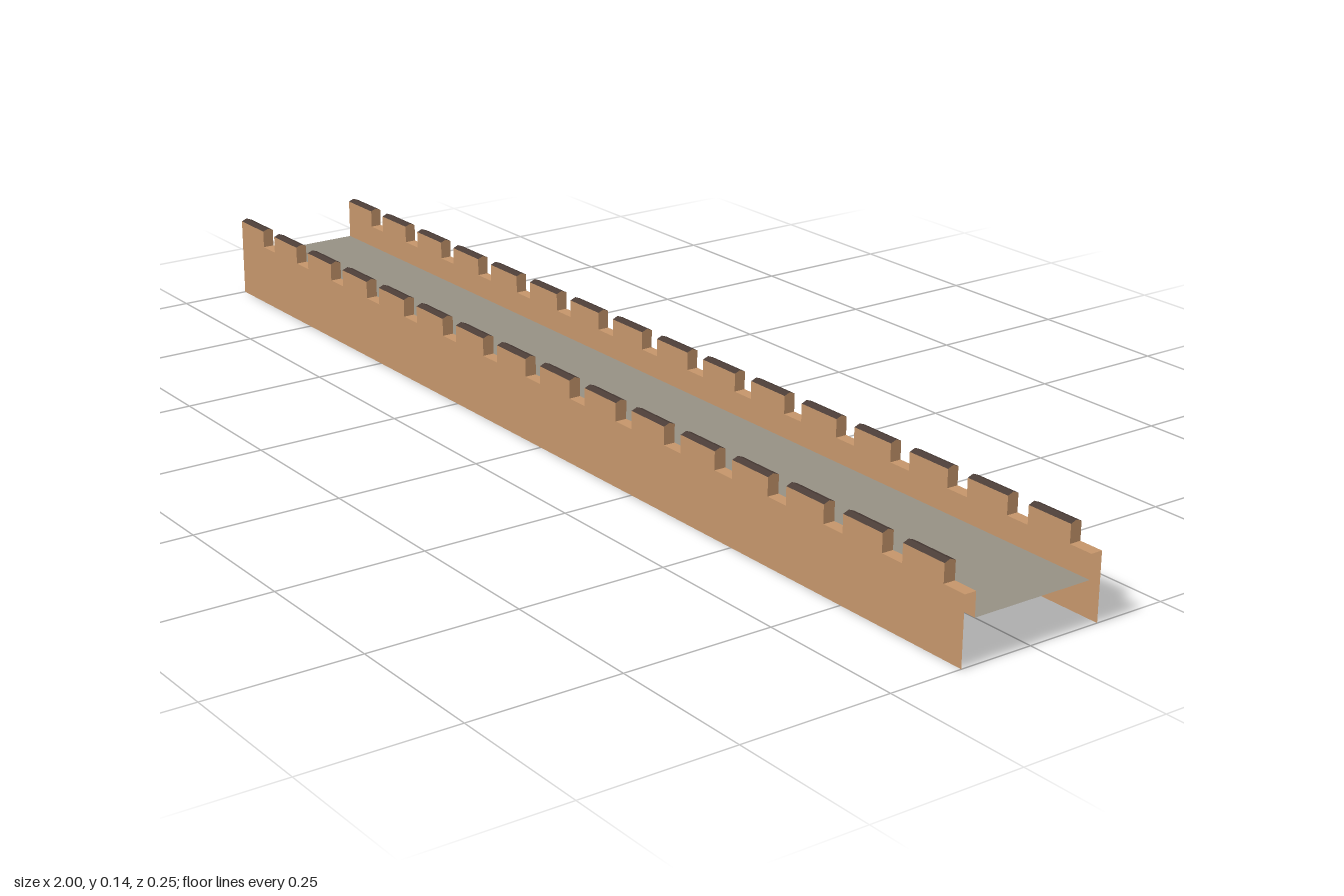
import * as THREE from 'three';

const LENGTH = 2, COUNT = 16, PITCH = LENGTH / COUNT, MERLON = PITCH * 2 / 3;
const FLOOR = 0.07, WALL = 0.109, SHOULDER = 0.139, RIDGE = 0.143;
const INNER = 0.106, OUTER = 0.126, MID = (INNER + OUTER) / 2;

function material(name, color) {
  const m = new THREE.MeshStandardMaterial({ color, side: THREE.DoubleSide });
  m.name = name;
  return m;
}

// Flat-sided sheet: joins a list of [z, y] points swept from x0 to x1
function sweep(points, x0, x1, out) {
  for (let i = 0; i < points.length - 1; i++) {
    const [z0, y0] = points[i], [z1, y1] = points[i + 1];
    out.push(x0, y0, z0, x1, y0, z0, x1, y1, z1, x0, y0, z0, x1, y1, z1, x0, y1, z1);
  }
}

// Convex end face of a swept profile; flip turns it toward -x
function endFace(points, x, flip, out) {
  for (let i = 1; i < points.length - 1; i++) {
    const tri = flip ? [points[0], points[i + 1], points[i]] : [points[0], points[i], points[i + 1]];
    for (const [z, y] of tri) out.push(x, y, z);
  }
}

function sheetMesh(name, positions, mat) {
  const g = new THREE.BufferGeometry();
  g.setAttribute('position', new THREE.Float32BufferAttribute(positions, 3));
  g.computeVertexNormals();
  const mesh = new THREE.Mesh(g, mat);
  mesh.name = name;
  return mesh;
}

function parapet(name, stone, coping) {
  const group = new THREE.Group();
  group.name = name;
  const wall = [], merlons = [], caps = [];

  // Hollow wall: tall outer skin, short inner skin above the walkway, open ends
  sweep([[OUTER, 0], [OUTER, WALL]], -1, 1, wall);
  sweep([[INNER, WALL], [INNER, FLOOR]], -1, 1, wall);

  const outline = [[INNER, WALL], [INNER, SHOULDER], [MID, RIDGE], [OUTER, SHOULDER], [OUTER, WALL]];
  for (let i = 0; i < COUNT; i++) {
    const x0 = -1 + i * PITCH, x1 = x0 + MERLON;
    // Ledge between merlons
    sweep([[OUTER, WALL], [INNER, WALL]], x1, x0 + PITCH, wall);
    // Merlon sides and ends
    sweep([outline[4], outline[3]], x0, x1, merlons);
    sweep([outline[1], outline[0]], x0, x1, merlons);
    endFace(outline, x0, true, merlons);
    endFace(outline, x1, false, merlons);
    // Ridged coping
    sweep([outline[3], outline[2], outline[1]], x0, x1, caps);
  }
  group.add(
    sheetMesh('wall', wall, stone),
    sheetMesh('merlons', merlons, stone),
    sheetMesh('merlonCoping', caps, coping)
  );
  return group;
}

export function createModel() {
  const model = new THREE.Group();
  model.name = 'battlementWalkway';
  const stone = material('tanStone', 0xc4956a);
  const paving = material('greyPaving', 0x969084);
  const coping = material('darkCoping', 0x4a3c36);

  const front = parapet('frontParapet', stone, coping);
  // Back parapet: same merlon positions, mirrored in z
  const back = parapet('backParapet', stone, coping);
  back.scale.z = -1;

  const floor = [];
  sweep([[INNER, FLOOR], [-INNER, FLOOR]], -1, 1, floor);
  model.add(front, back, sheetMesh('walkway', floor, paving));
  return model;
}
